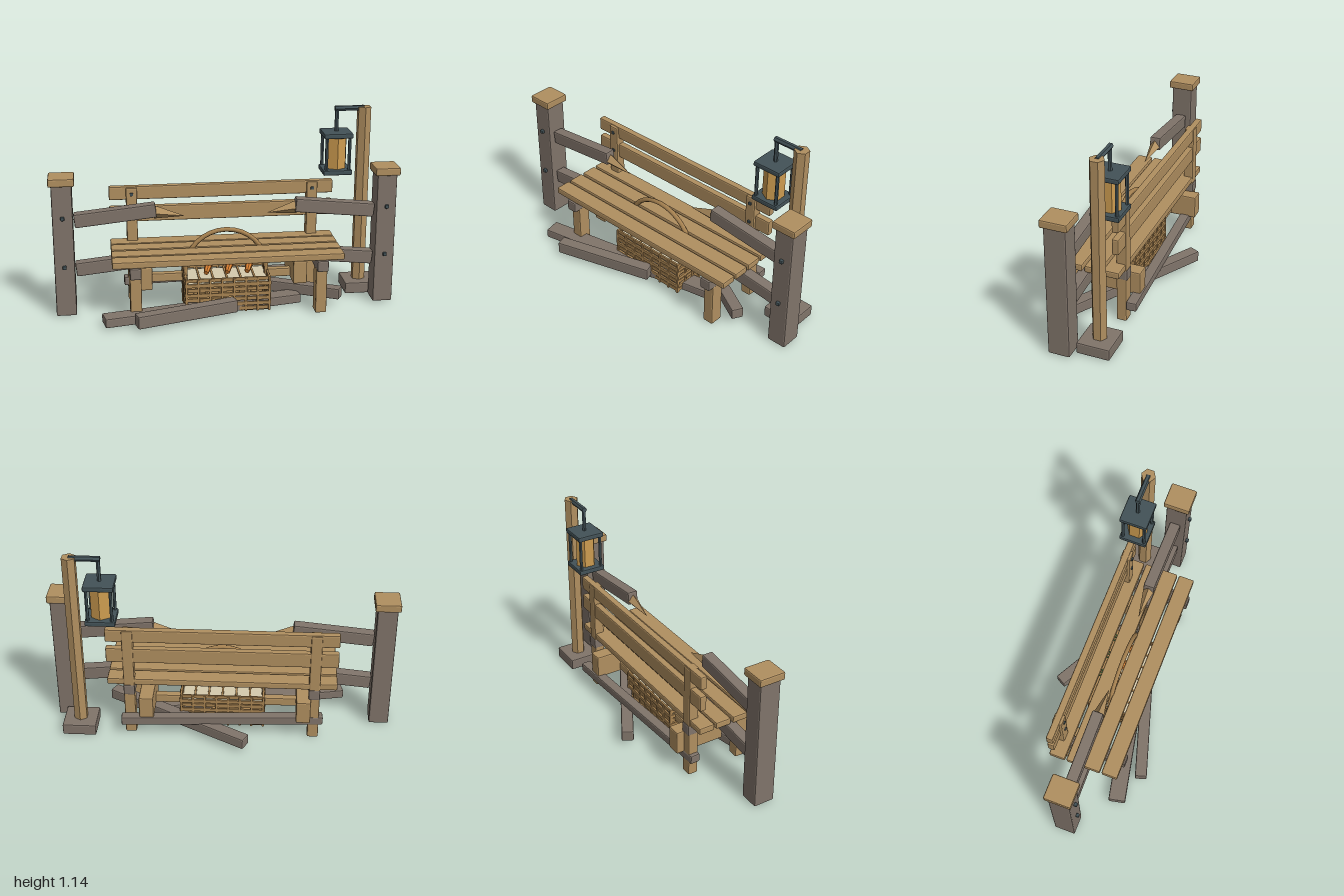
import * as THREE from 'three';
import { RoundedBoxGeometry } from 'three/addons/geometries/RoundedBoxGeometry.js';

const mat = (name, color) => Object.assign(new THREE.MeshStandardMaterial({ color }), { name });

export function createModel() {
  const root = new THREE.Group();
  root.name = 'rusticBench';
  const wood = mat('warmWood', 0xb08f60);
  const grey = mat('weatheredWood', 0x80746a);
  const metal = mat('darkMetal', 0x435257);
  const glow = mat('lanternGlass', 0xcd9c50);
  const wicker = mat('wicker', 0xa98452);
  const straw = mat('straw', 0xd6cbae);
  const orange = mat('carrotOrange', 0xd57d30);
  const green = mat('leafGreen', 0x437f42);
  const V = (x, y, z) => new THREE.Vector3(x, y, z);

  const add = (name, geo, material, parent = root) => {
    const m = new THREE.Mesh(geo, material);
    m.name = name;
    parent.add(m);
    return m;
  };
  // Box with chamfered edges and flat faces
  const chamfer = (w, h, d) => {
    const g = new RoundedBoxGeometry(w, h, d, 1, Math.min(0.008, w / 4, h / 4, d / 4));
    g.computeVertexNormals();
    return g;
  };
  const box = (name, material, x, y, z, w, h, d, parent) => {
    const m = add(name, chamfer(w, h, d), material, parent);
    m.position.set(x, y, z);
    return m;
  };
  // Chamfered beam whose long axis runs from a to b
  const beam = (name, material, a, b, h, d, parent) => {
    const m = add(name, chamfer(a.distanceTo(b), h, d), material, parent);
    const dir = b.clone().sub(a).normalize();
    const side = dir.clone().cross(V(0, 1, 0)).normalize();
    m.quaternion.setFromRotationMatrix(new THREE.Matrix4().makeBasis(dir, side.clone().cross(dir), side));
    m.position.copy(a).lerp(b, 0.5);
    return m;
  };
  // Flat-sided tapered rod from a to b
  const rod = (name, material, a, b, ra, rb, sides, parent) => {
    const g = new THREE.CylinderGeometry(rb, ra, a.distanceTo(b), sides).toNonIndexed();
    g.computeVertexNormals();
    const m = add(name, g, material, parent);
    m.quaternion.setFromUnitVectors(V(0, 1, 0), b.clone().sub(a).normalize());
    m.position.copy(a).lerp(b, 0.5);
    return m;
  };

  // Fence posts with caps, broken rails, splinters and bolts
  for (const s of [-1, 1]) {
    const fence = new THREE.Group();
    fence.name = s < 0 ? 'rightFence' : 'leftFence';
    root.add(fence);
    box('fencePost', grey, s * 0.923, 0.395, 0.017, 0.115, 0.78, 0.125, fence);
    box('postCap', wood, s * 0.923, 0.8, 0.017, 0.145, 0.046, 0.155, fence);
    for (const y of [0.56, 0.27]) {
      beam('brokenRail', grey, V(s * 0.86, y, 0.018), V(s * 0.4, y + 0.047, 0.018), 0.08, 0.065, fence);
      const tip = rod('splinter', wood, V(s * 0.405, y + 0.03, 0.018), V(s * 0.24, y + 0.002, 0.018), 0.038, 0.001, 4, fence);
      tip.scale.z = 0.85;
      box('railBolt', metal, s * 0.923, y + 0.033, 0.088, 0.022, 0.022, 0.02, fence);
    }
  }

  // Seat planks
  const bench = new THREE.Group();
  bench.name = 'bench';
  root.add(bench);
  for (const z of [0.178, 0.072, -0.037, -0.143])
    box('seatPlank', wood, -0.002, 0.35, z, 1.315, 0.04, 0.095, bench);
  // Backrest planks
  box('upperBackPlank', wood, -0.002, 0.655, -0.17, 1.315, 0.08, 0.04, bench);
  box('lowerBackPlank', wood, -0.002, 0.527, -0.17, 1.315, 0.093, 0.04, bench);
  // Legs, seat bearers and low blocks
  for (const s of [-1, 1]) {
    const x = s * 0.53;
    box('seatBearer', grey, x, 0.298, 0.018, 0.065, 0.066, 0.435, bench);
    box('frontLeg', wood, x, 0.138, 0.16, 0.066, 0.275, 0.08, bench);
    box('backPost', wood, x, 0.345, -0.165, 0.064, 0.69, 0.06, bench);
    for (const y of [0.652, 0.527])
      box('backBolt', metal, x, y, -0.133, 0.018, 0.018, 0.012, bench);
    box('lowBlock', wood, s < 0 ? -0.47 : 0.432, 0.2, -0.09, 0.083, 0.14, 0.3, bench);
  }
  box('stretcher', wood, -0.02, 0.165, -0.065, 0.84, 0.052, 0.045, bench);

  // Fallen logs on the ground
  beam('frontLog', grey, V(-0.535, 0.06, 0.33), V(0.04, 0.06, 0.155), 0.075, 0.07);
  beam('longLog', grey, V(-0.715, 0.036, 0.245), V(0.43, 0.036, 0.01), 0.055, 0.1);
  beam('crossLog', grey, V(-0.145, 0.062, -0.343), V(0.665, 0.078, 0.1), 0.066, 0.07);
  beam('rearLog', grey, V(-0.585, 0.115, -0.165), V(0.578, 0.115, -0.228), 0.052, 0.06);

  // Woven basket
  const basket = new THREE.Group();
  basket.name = 'basket';
  basket.position.z = 0.01;
  root.add(basket);
  const W = 0.24, D = 0.12;
  box('basketFloor', wicker, 0, 0.015, 0, 2 * W - 0.01, 0.02, 2 * D - 0.01, basket);
  for (let i = 0; i < 7; i++) {
    const y = 0.025 + i * 0.03, bulge = i % 2 ? 0.004 : 0;
    for (const s of [-1, 1]) {
      box('wovenBand', wicker, 0, y, s * (D + bulge), 2 * W + 0.012, 0.022, 0.012, basket);
      box('wovenBand', wicker, s * (W + bulge), y, 0, 0.012, 0.022, 2 * D + 0.012, basket);
    }
  }
  for (const s of [-1, 1]) {
    for (let i = 0; i < 8; i++)
      box('stake', wicker, -W + (i * 2 * W) / 7, 0.11, s * D, 0.014, 0.205, 0.022, basket);
    for (let i = 1; i < 4; i++)
      box('stake', wicker, s * W, 0.11, -D + (i * D) / 2, 0.022, 0.205, 0.014, basket);
  }
  box('strawBed', straw, 0, 0.178, 0, 2 * W - 0.014, 0.03, 2 * D - 0.014, basket);
  for (let i = 1; i < 6; i++)
    box('strawSlat', wicker, -W + (i * W) / 3, 0.195, 0, 0.012, 0.01, 2 * D, basket);
  const handle = add('basketHandle', new THREE.TorusGeometry(0.235, 0.014, 6, 16, Math.PI), wicker, basket);
  handle.position.set(0, 0.235, 0.008);
  for (const s of [-1, 1]) box('handleFoot', wicker, s * 0.235, 0.2, 0.008, 0.024, 0.08, 0.024, basket);

  // Carrots with leafy tops
  for (const x of [-0.097, 0.025, 0.14]) {
    const carrot = new THREE.Group();
    carrot.name = 'carrot';
    root.add(carrot);
    const top = V(x + 0.02, 0.292, -0.05);
    rod('carrotRoot', orange, V(x - 0.025, 0.232, 0.085), top, 0.014, 0.034, 7, carrot);
    for (const [dx, dy] of [[-0.03, 0.025], [0, 0.035], [0.03, 0.02]])
      rod('carrotLeaf', green, top, V(top.x + dx, top.y + dy, -0.125), 0.009, 0.002, 5, carrot);
  }

  // Lantern post on its foot
  const px = 0.828, lx = 0.668, z = -0.153;
  box('lanternPostFoot', grey, px, 0.037, z, 0.195, 0.068, 0.19);
  rod('lanternPost', wood, V(px, 0.05, z), V(px, 1.13, z), 0.042, 0.042, 6);
  // Hanging arm and lantern
  const lantern = new THREE.Group();
  lantern.name = 'lantern';
  root.add(lantern);
  rod('arm', metal, V(px, 1.122, z), V(lx - 0.012, 1.122, z), 0.016, 0.016, 6, lantern);
  rod('hanger', metal, V(lx, 1.125, z), V(lx, 0.98, z), 0.012, 0.012, 6, lantern);
  for (const y of [0.756, 0.974]) box('lanternPlate', metal, lx, y, z, 0.17, 0.03, 0.163, lantern);
  rod('lanternGlass', glow, V(lx, 0.765, z), V(lx, 0.965, z), 0.06, 0.06, 6, lantern);
  for (const sx of [-1, 1])
    for (const sz of [-1, 1])
      rod('lanternBar', metal, V(lx + sx * 0.067, 0.76, z + sz * 0.064), V(lx + sx * 0.067, 0.97, z + sz * 0.064), 0.01, 0.01, 6, lantern);

  return root;
}
